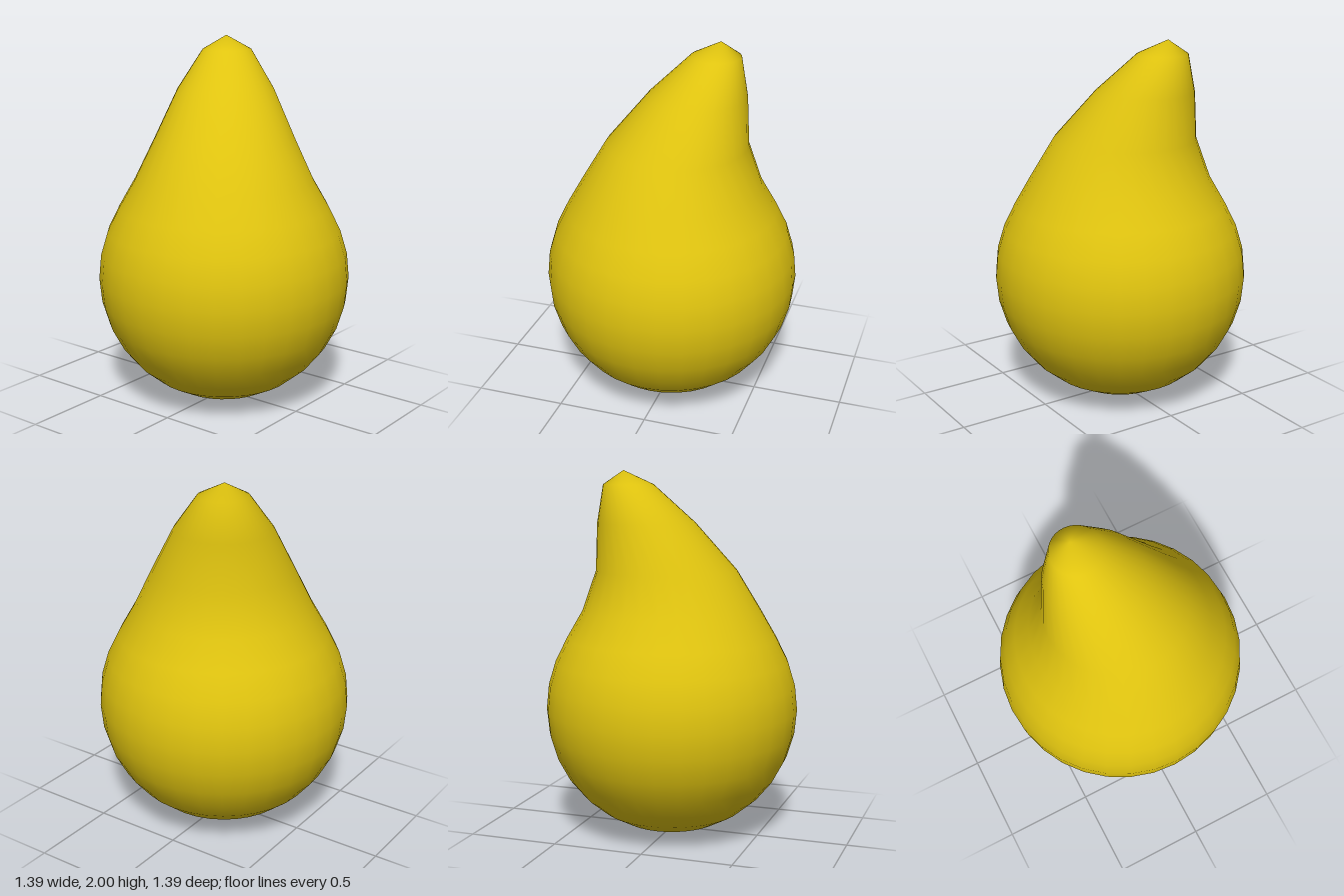
import * as THREE from 'three';
import { mergeVertices } from 'three/addons/utils/BufferGeometryUtils.js';

// Upper rings from the tip down: height, sideways shift in x and z
const NECK = [
  [2.0, -0.155, -0.22],
  [1.925, -0.135, -0.2],
  [1.72, -0.08, -0.118],
  [1.46, -0.015, -0.025],
  [1.24, 0, 0],
  [1.09, 0, 0],
];

export function createModel() {
  const group = new THREE.Group();
  group.name = 'pearDrop';
  const yellow = new THREE.MeshStandardMaterial({ color: 0xe0c40f });
  yellow.name = 'golden yellow';

  // A sphere whose upper rings are drawn up into a leaning tip
  const radius = 0.695, cols = 32, rows = 16;
  let body = new THREE.SphereGeometry(radius, cols, rows);
  body.translate(0, radius, 0);
  const pos = body.attributes.position;
  NECK.forEach(([y, dx, dz], row) => {
    for (let c = 0; c <= cols; c++) {
      const i = row * (cols + 1) + c;
      pos.setXYZ(i, pos.getX(i) + dx, y, pos.getZ(i) + dz);
    }
  });

  // Weld the seam so the shading is smooth all round
  body.deleteAttribute('uv');
  body.deleteAttribute('normal');
  body = mergeVertices(body, 1e-4);
  body.computeVertexNormals();

  const mesh = new THREE.Mesh(body, yellow);
  mesh.name = 'body';
  group.add(mesh);
  return group;
}
